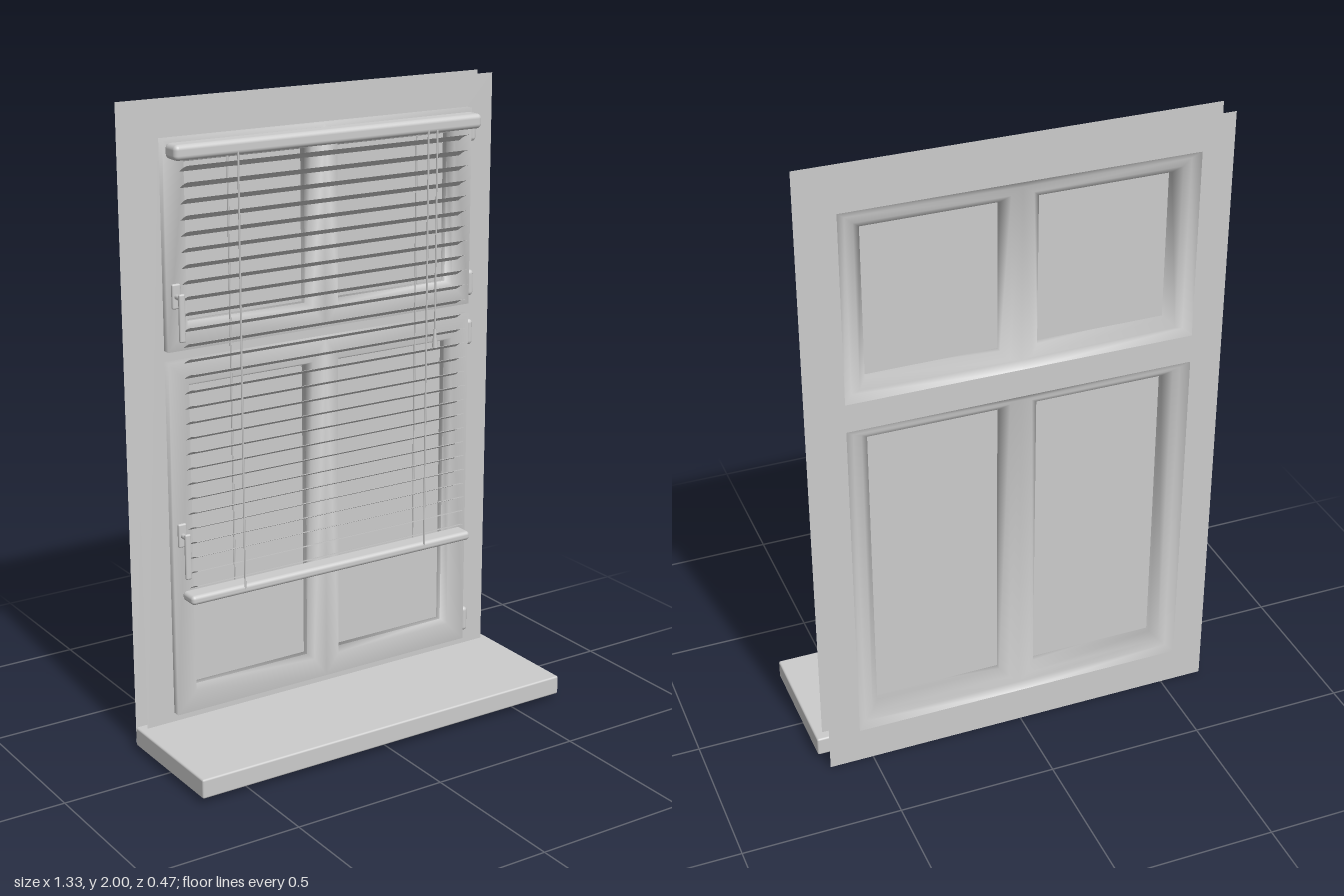
import * as THREE from 'three';
import { mergeVertices } from 'three/addons/utils/BufferGeometryUtils.js';
import { RoundedBoxGeometry } from 'three/addons/geometries/RoundedBoxGeometry.js';

const grey = new THREE.MeshStandardMaterial({ color: 0xcccccc });
const greyThin = new THREE.MeshStandardMaterial({ color: 0xcccccc, side: THREE.DoubleSide });

// depths of the wall plates and frame faces
const BACK = -0.235, PLATE = -0.157, FACE = -0.132, GLASS = -0.177;

// each sash: front outline, back opening and pane heights
const sashes = [
  { name: 'lower', front: [0.11, 1.24], back: [0.115, 1.21], pane: [0.19, 1.157] },
  { name: 'upper', front: [1.273, 1.9], back: [1.3, 1.893], pane: [1.353, 1.826] },
];
const PANE_X = [0.058, 0.467];

export function createModel() {
  const root = new THREE.Group();

  function add(parent, name, geometry, x = 0, y = 0, z = 0, material = grey) {
    const mesh = new THREE.Mesh(geometry, material);
    mesh.name = name;
    mesh.position.set(x, y, z);
    parent.add(mesh);
    return mesh;
  }
  const cyl = (r, h, n = 12) => new THREE.CylinderGeometry(r, r, h, n);

  // flat plate with rectangular openings
  function plate(name, halfWidth, openings, z) {
    const rect = (target, x, y0, y1) => target.moveTo(-x, y0).lineTo(x, y0).lineTo(x, y1).lineTo(-x, y1).closePath();
    const shape = rect(new THREE.Shape(), 0.64, 0, 2);
    openings.forEach(([y0, y1]) => shape.holes.push(rect(new THREE.Path(), halfWidth, y0, y1)));
    add(root, name, new THREE.ShapeGeometry(shape), 0, 0, z, greyThin);
  }
  plate('frontPlate', 0.545, sashes.map(s => s.front), PLATE);
  plate('backPlate', 0.54, sashes.map(s => s.back), BACK);

  // joins rectangular loops [x0, x1, y0, y1, z] on both halves of a sash;
  // the mullion side is left open while a loop still reaches x = 0
  function loft(loops, facesBack) {
    const pos = [];
    for (const s of [1, -1]) {
      const rings = loops.map(([x0, x1, y0, y1, z]) =>
        [[x0, y0], [x1, y0], [x1, y1], [x0, y1]].map(([x, y]) => [s * x, y, z]));
      const flip = (s < 0) !== facesBack;
      for (let i = 0; i + 1 < rings.length; i++) {
        const sides = loops[i + 1][0] === 0 ? 3 : 4;
        for (let k = 0; k < sides; k++) {
          const n = (k + 1) % 4, a = rings[i], b = rings[i + 1];
          const tri = [a[k], a[n], b[n], a[k], b[n], b[k]];
          if (flip) tri.reverse();
          tri.forEach(p => pos.push(...p));
        }
      }
    }
    let g = new THREE.BufferGeometry();
    g.setAttribute('position', new THREE.Float32BufferAttribute(pos, 3));
    g = mergeVertices(g, 1e-5);
    g.computeVertexNormals();
    return g;
  }

  for (const { name, front, back, pane } of sashes) {
    const sash = new THREE.Group();
    sash.name = name + 'Sash';
    root.add(sash);
    const [f0, f1] = front, [b0, b1] = back, [p0, p1] = pane, [x0, x1] = PANE_X;
    const around = (d, z) => [x0 - d, x1 + d, p0 - d, p1 + d, z];

    // raised inner frame
    add(sash, 'innerFrame', loft([
      [0, 0.545, f0, f1, PLATE],
      [0, 0.545, f0, f1, FACE],
      around(0.012, FACE),
      around(0, PLATE),
    ], false), 0, 0, 0, greyThin);

    // recessed outer frame with splayed reveals
    add(sash, 'outerFrame', loft([
      [0, 0.54, b0, b1, BACK],
      [0, 0.515, b0 + 0.022, b1 - 0.022, -0.219],
      around(0.024, -0.219),
      around(0, -0.196),
      around(0, PLATE),
    ], true), 0, 0, 0, greyThin);

    // panes
    for (const s of [1, -1]) {
      add(sash, 'pane', new THREE.PlaneGeometry(x1 - x0, p1 - p0), s * (x0 + x1) / 2, (p0 + p1) / 2, GLASS, greyThin);
    }

    // hinges
    for (const y of [f0 + 0.065, f1 - 0.065]) {
      add(sash, 'hinge', new THREE.CapsuleGeometry(0.012, 0.06, 4, 12), 0.557, y, -0.148);
    }

    // handle
    const handle = new THREE.Group();
    handle.name = 'handle';
    handle.position.set(-0.517, name === 'upper' ? 1.44 : 0.7, FACE);
    sash.add(handle);
    add(handle, 'handlePlate', new RoundedBoxGeometry(0.028, 0.075, 0.012, 2, 0.005), 0, 0, 0.004);
    add(handle, 'handleNeck', cyl(0.008, 0.034).rotateX(Math.PI / 2), 0, 0, 0.018);
    add(handle, 'handleLever', new RoundedBoxGeometry(0.02, 0.145, 0.012, 2, 0.005), 0.002, -0.06, 0.034);
  }

  // window sill
  add(root, 'sill', new RoundedBoxGeometry(1.33, 0.062, 0.423, 2, 0.006), 0, 0.049, 0.0235);

  // venetian blind
  const blind = new THREE.Group();
  blind.name = 'blind';
  root.add(blind);
  add(blind, 'headRail', new RoundedBoxGeometry(1.08, 0.046, 0.067, 4, 0.015), 0, 1.867, -0.101);
  add(blind, 'bottomRail', new RoundedBoxGeometry(1.04, 0.03, 0.066, 4, 0.012), 0, 0.505, -0.099);

  // slats: slightly arched strips, higher at the front
  const slat = new THREE.PlaneGeometry(0.99, 0.058, 1, 4).rotateX(Math.PI / 2);
  const p = slat.attributes.position;
  for (let i = 0; i < p.count; i++) {
    const z = p.getZ(i);
    p.setY(i, z * 0.45 + 0.004 * (1 - (z / 0.029) ** 2));
  }
  slat.computeVertexNormals();
  const COUNT = 28;
  for (let i = 0; i < COUNT; i++) {
    add(blind, 'slat', slat, 0, 1.816 - i * (1.28 / (COUNT - 1)), -0.1, greyThin);
  }

  // ladder cords
  for (const x of [-0.335, 0.335]) {
    for (const z of [-0.068, -0.131]) add(blind, 'ladderCord', cyl(0.003, 1.35, 6), x, 1.18, z);
  }

  // pull cord and its weight
  add(blind, 'pullCord', cyl(0.003, 0.63, 6), 0.365, 1.54, -0.064);
  add(blind, 'cordWeight', new THREE.CylinderGeometry(0.004, 0.009, 0.06, 12), 0.365, 1.2, -0.064);

  return root;
}
